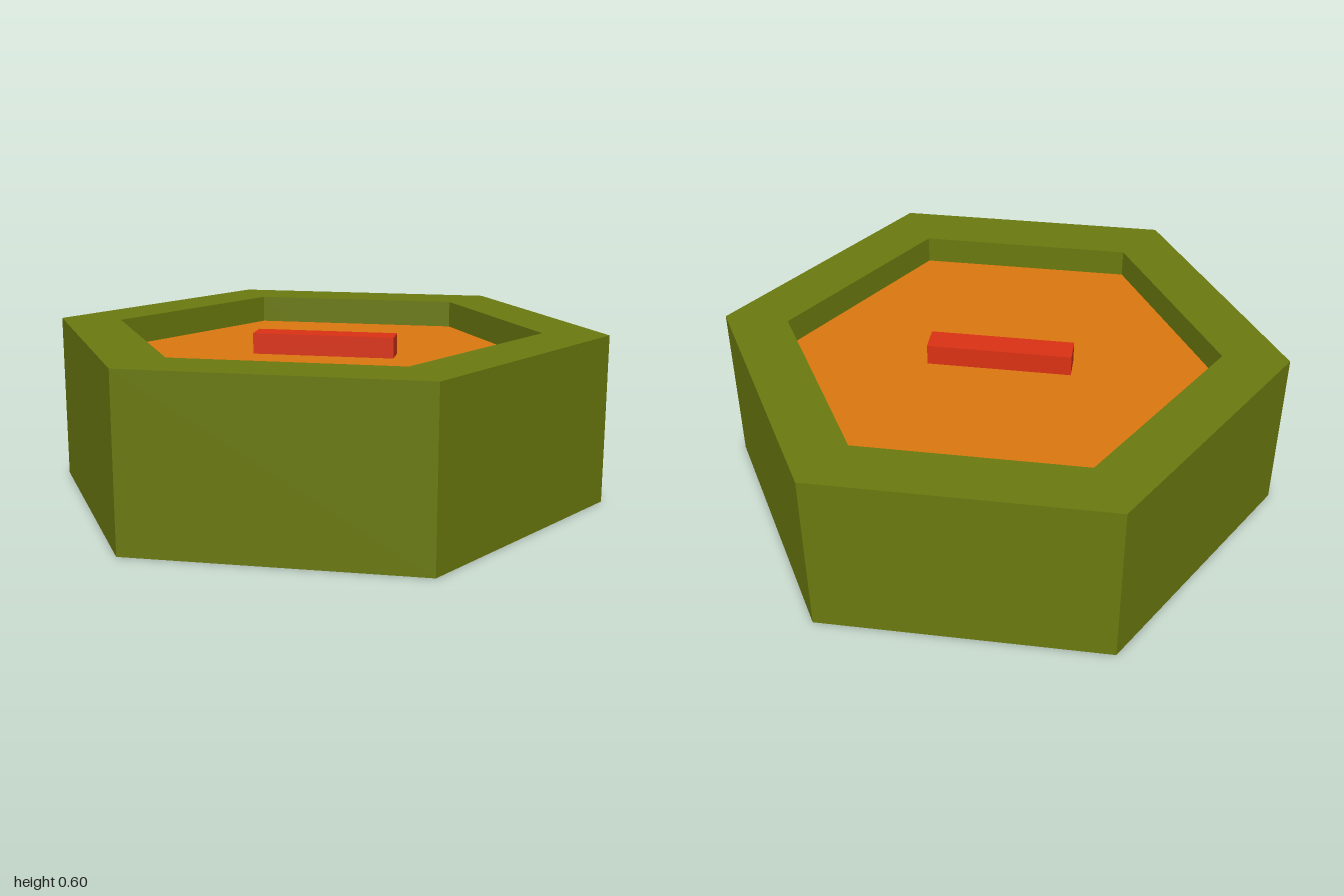
import * as THREE from 'three';

const olive = new THREE.MeshStandardMaterial({ name: 'olive', color: 0x6b7a0f });
const orange = new THREE.MeshStandardMaterial({ name: 'orange', color: 0xdc780f });
const red = new THREE.MeshStandardMaterial({ name: 'red', color: 0xdc3214 });

// Corner points of a hexagon with two corners on the x axis
function hexagon(radius) {
  return Array.from({ length: 6 }, (_, i) => {
    const a = (i * Math.PI) / 3;
    return new THREE.Vector2(radius * Math.cos(a), radius * Math.sin(a));
  });
}

// Upright hexagonal prism from y0 to y1, optionally with a hexagonal hole
function prism(radius, y0, y1, holeRadius) {
  const shape = new THREE.Shape(hexagon(radius));
  if (holeRadius) shape.holes.push(new THREE.Path(hexagon(holeRadius).reverse()));
  const geometry = new THREE.ExtrudeGeometry(shape, { depth: y1 - y0, bevelEnabled: false });
  return geometry.rotateX(-Math.PI / 2).translate(0, y0, 0);
}

export function createModel() {
  const model = new THREE.Group();
  model.name = 'hexagonalCase';

  function add(name, geometry, material) {
    const mesh = new THREE.Mesh(geometry, material);
    mesh.name = name;
    model.add(mesh);
    return mesh;
  }

  const height = 0.6, recess = 0.1, inner = 0.77;

  // Outer ring and the panel set into it from both sides
  add('outerRing', prism(1, 0, height, inner), olive);
  add('corePanel', prism(inner, recess, height - recess), orange);

  // Raised bar on the top and bottom of the panel
  const barHeight = 0.075;
  const barGeometry = new THREE.BoxGeometry(0.51, barHeight, 0.094);
  add('topBar', barGeometry, red).position.y = height - recess + barHeight / 2;
  add('bottomBar', barGeometry, red).position.y = recess - barHeight / 2;

  return model;
}
